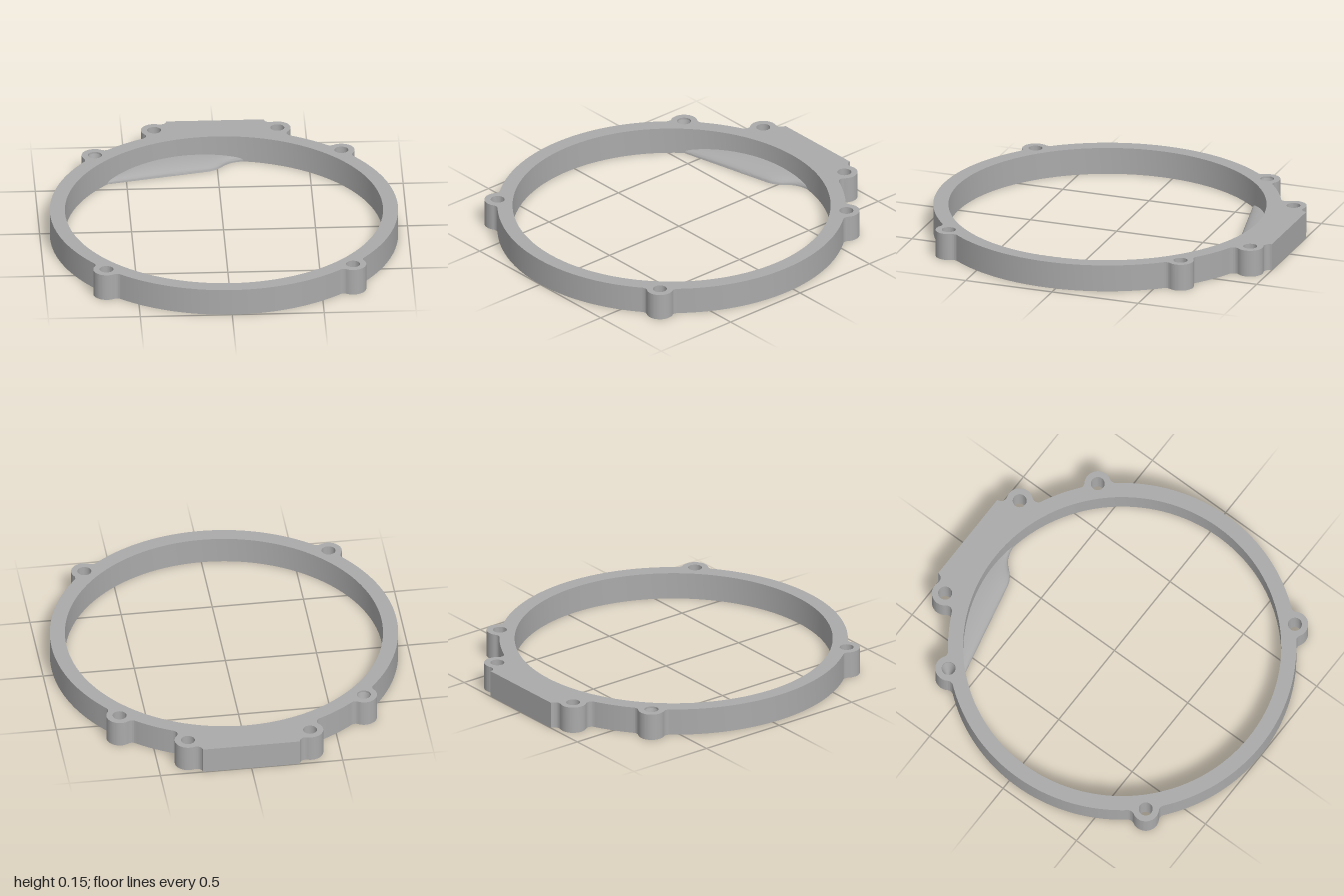
import * as THREE from 'three';
import { toCreasedNormals } from 'three/addons/utils/BufferGeometryUtils.js';

const HEIGHT = 0.15;
const CZ = 0.053;          // ring centre along z
const OUTER = 0.946, INNER = 0.864;
const BOSS = 0.072, HOLE = 0.038, FILLET = 0.032;

// Outlines are drawn in (x, -z) and extruded upwards.
const centre = new THREE.Vector2(0, -CZ);
const bosses = [[0.67, -0.722], [0.67, 0.622], [0.335, 0.9]].map(([x, y]) => new THREE.Vector2(x, y));
const dir = (from, to) => Math.atan2(to.y - from.y, to.x - from.x);

// Right half of the outer outline, from the front middle round to the back flat
function halfOutline() {
  const path = new THREE.Path();
  let angle = -Math.PI / 2;
  bosses.forEach((b, i) => {
    const a = dir(centre, b), d = centre.distanceTo(b), q = OUTER + FILLET;
    const t = Math.acos((q * q + d * d - (BOSS + FILLET) ** 2) / (2 * q * d));
    const filletAt = (s) => new THREE.Vector2(centre.x + q * Math.cos(s), centre.y + q * Math.sin(s));
    const f1 = filletAt(a - t);
    path.absarc(centre.x, centre.y, OUTER, angle, a - t, false);
    path.absarc(f1.x, f1.y, FILLET, a - t + Math.PI, dir(f1, b), true);
    if (i < 2) {
      const f2 = filletAt(a + t);
      path.absarc(b.x, b.y, BOSS, dir(b, f1), dir(b, f2), false);
      path.absarc(f2.x, f2.y, FILLET, dir(f2, b), a + t + Math.PI, true);
      angle = a + t;
    } else {
      // last boss blends into the flat back edge
      const g = new THREE.Vector2(0.3, 1.0);
      path.absarc(b.x, b.y, BOSS, dir(b, f1), dir(b, g), false);
      path.absarc(g.x, g.y, g.distanceTo(b) - BOSS, dir(g, b), Math.PI, true);
    }
  });
  const pts = [];
  for (const p of path.getPoints(20)) {
    if (!pts.length || pts[pts.length - 1].distanceTo(p) > 1e-4) pts.push(p);
  }
  return pts;
}

function circleHole(x, y, r, n) {
  const pts = [];
  for (let i = 0; i < n; i++) {
    const a = -i / n * Math.PI * 2;
    pts.push(new THREE.Vector2(x + r * Math.cos(a), y + r * Math.sin(a)));
  }
  return new THREE.Path(pts);
}

function ringGeometry() {
  const right = halfOutline();
  const left = right.slice(1).reverse().map((p) => new THREE.Vector2(-p.x, p.y));
  const shape = new THREE.Shape([...right, ...left]);
  shape.holes.push(circleHole(0, -CZ, INNER, 128));
  for (const b of bosses) for (const s of [1, -1]) shape.holes.push(circleHole(s * b.x, b.y, HOLE, 28));
  const geo = new THREE.ExtrudeGeometry(shape, { depth: HEIGHT, bevelEnabled: false });
  geo.rotateX(-Math.PI / 2);
  return toCreasedNormals(geo, 0.5);
}

// Flat-bottomed lip with a rounded top, between a free edge and the inner wall
function lipGeometry() {
  const edge = new THREE.CurvePath();
  const v = (x, z) => new THREE.Vector3(x, 0, z);
  edge.add(new THREE.LineCurve3(v(-0.615, -0.562), v(-0.06, -0.685)));
  edge.add(new THREE.CubicBezierCurve3(v(-0.06, -0.685), v(0.05, -0.71), v(0.01, -0.795), v(0.17, -0.8)));
  const N = 48, M = 10, R = INNER + 0.004, ring = M + 2;
  const a0 = Math.atan2(-0.615, 0.562 + CZ), a1 = Math.atan2(0.17, 0.8 + CZ);
  const pos = [], idx = [];
  for (let i = 0; i <= N; i++) {
    const u = i / N, p = edge.getPointAt(u), a = a0 + (a1 - a0) * u;
    const w = v(R * Math.sin(a), CZ - R * Math.cos(a));
    const h = 0.045 * Math.sqrt(Math.max(0, Math.sin(Math.PI * u)));
    pos.push(w.x, 0, w.z);
    for (let j = 0; j <= M; j++) {
      const s = 1 - Math.cos(j / M * Math.PI / 2);
      const q = p.clone().lerp(w, s);
      pos.push(q.x, j === 0 ? 0 : 0.003 + h * Math.sqrt(1 - (1 - s) ** 2), q.z);
    }
  }
  for (let i = 0; i < N; i++) {
    for (let j = 0; j < ring; j++) {
      const k = (j + 1) % ring, a = i * ring + j, b = i * ring + k;
      idx.push(a, a + ring, b, b, a + ring, b + ring);
    }
  }
  const geo = new THREE.BufferGeometry();
  geo.setAttribute('position', new THREE.Float32BufferAttribute(pos, 3));
  geo.setIndex(idx);
  return toCreasedNormals(geo, 0.7);
}

export function createModel() {
  const group = new THREE.Group();
  group.name = 'spacerRing';
  const grey = new THREE.MeshStandardMaterial({ color: 0xaaaaaa, side: THREE.DoubleSide });
  grey.name = 'plainGrey';

  const add = (name, geo) => {
    const mesh = new THREE.Mesh(geo, grey);
    mesh.name = name;
    group.add(mesh);
    return mesh;
  };

  add('flangeRing', ringGeometry());
  add('innerLip', lipGeometry());

  // Tapered seat inside the back right bolt hole
  const seat = add('taperedHoleSeat', new THREE.CylinderGeometry(HOLE, 0.003, HEIGHT - 0.02, 28, 1, true));
  seat.position.set(-bosses[1].x, HEIGHT / 2, -bosses[1].y);

  return group;
}
